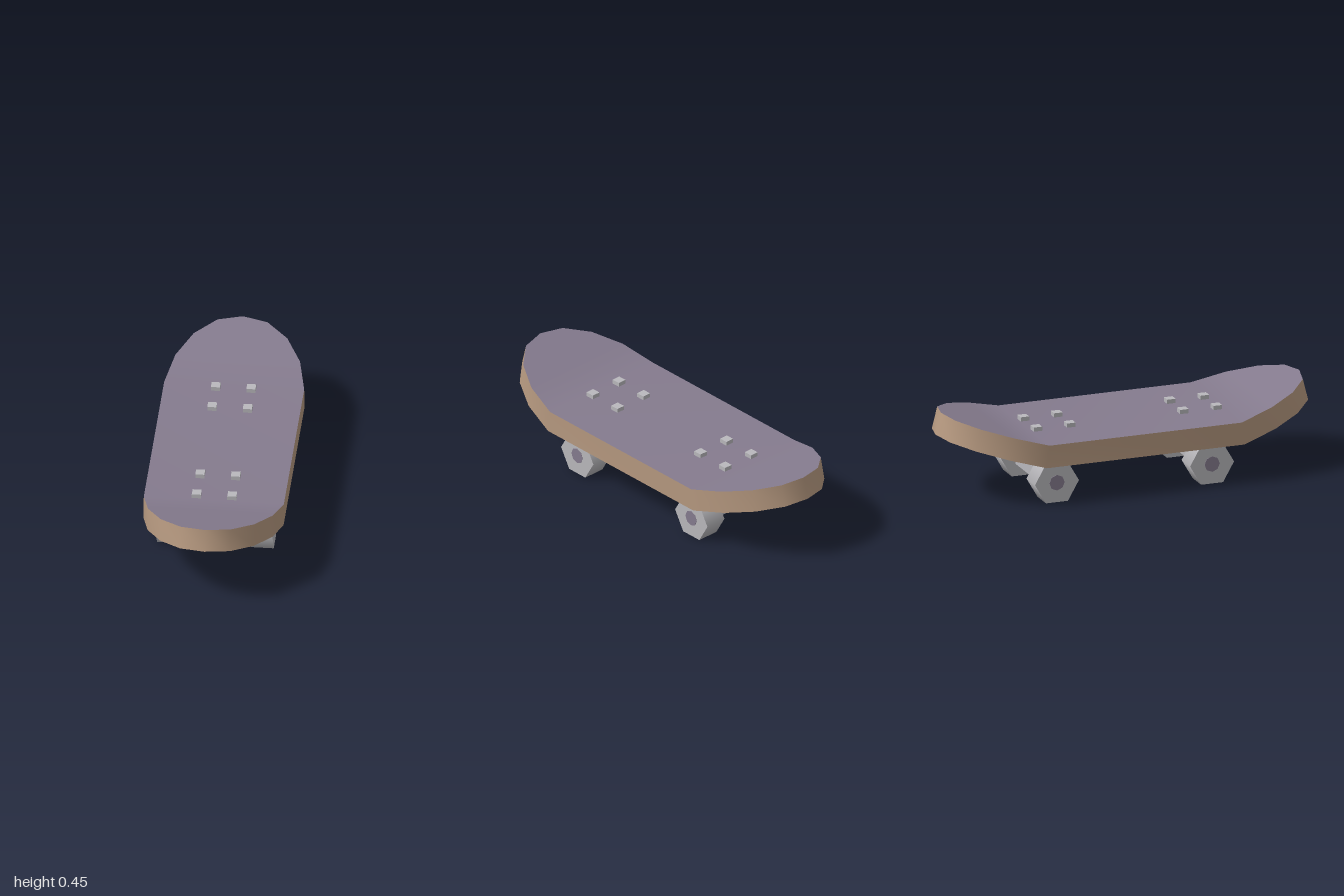
import * as THREE from 'three';

const mat = (name, color, side = THREE.FrontSide) => {
  const m = new THREE.MeshStandardMaterial({ color, side });
  m.name = name;
  return m;
};

// Deck outline of one end: [run from bend to tip, half width]
const END = [[1, 0], [0.934, 0.127], [0.72, 0.237], [0.397, 0.316], [0, 0.355]];
// Stations from back tip to front tip: [end sign, run, half width]
const STATIONS = [
  ...END.map(([t, w]) => [-1, t, w]),
  ...END.slice().reverse().map(([t, w]) => [1, t, w]),
];
const topPoint = ([s, t, w], side) => [side * w, 0.324 + 0.121 * t, s * (0.52 + 0.45 * t)];
const bottomPoint = ([s, t, w], side) => [side * w, 0.206 + 0.127 * t, s * (0.535 + 0.465 * t)];

function buildGeometry(points, index) {
  const g = new THREE.BufferGeometry();
  g.setAttribute('position', new THREE.Float32BufferAttribute(points.flat(), 3));
  g.setIndex(index);
  g.computeVertexNormals();
  return g;
}

// Upper or lower deck sheet, spanned between the left and right outline
function sheet(point, up) {
  const points = [], index = [];
  STATIONS.forEach((st, i) => {
    points.push(point(st, -1), point(st, 1));
    if (i === 0) return;
    const a = 2 * i - 2, b = 2 * i, c = 2 * i + 1, d = 2 * i - 1;
    index.push(...(up ? [a, b, c, a, c, d] : [a, c, b, a, d, c]));
  });
  return buildGeometry(points, index);
}

// Wooden band running once around the deck
function rim() {
  const loop = [
    ...STATIONS.map((st) => [st, 1]),
    ...STATIONS.slice(1, -1).reverse().map((st) => [st, -1]),
  ];
  const points = [], index = [];
  loop.forEach(([st, side], i) => {
    points.push(topPoint(st, side), bottomPoint(st, side));
    const t = 2 * i, b = t + 1, t2 = 2 * ((i + 1) % loop.length), b2 = t2 + 1;
    index.push(t, t2, b, b, t2, b2);
  });
  return buildGeometry(points, index);
}

export function createModel() {
  const grip = mat('muted purple', 0x857b8e);
  const wood = mat('wood', 0xb5987f);
  const metal = mat('light grey', 0xb9b8bc);

  const model = new THREE.Group();
  model.name = 'skateboard';
  const add = (parent, name, geometry, material, x = 0, y = 0, z = 0) => {
    const m = new THREE.Mesh(geometry, material);
    m.name = name;
    m.position.set(x, y, z);
    parent.add(m);
    return m;
  };

  // Deck
  add(model, 'deckTop', sheet(topPoint, true), grip);
  add(model, 'deckBottom', sheet(bottomPoint, false), grip);
  add(model, 'deckRim', rim(), wood);

  // Bolt heads
  const bolt = new THREE.BoxGeometry(0.046, 0.025, 0.046);
  for (const z of [-0.488, -0.307, 0.305, 0.486])
    for (const x of [-0.09, 0.09]) add(model, 'bolt', bolt, metal, x, 0.3335, z);

  // Trucks and wheels
  const plate = new THREE.CylinderGeometry(0.186, 0.186, 0.033, 4).rotateY(Math.PI / 4);
  const stem = new THREE.BoxGeometry(0.074, 0.05, 0.074);
  const axle = new THREE.BoxGeometry(0.36, 0.077, 0.077);
  const wheel = new THREE.CylinderGeometry(0.119, 0.119, 0.118, 6).rotateZ(Math.PI / 2);
  const hub = new THREE.CylinderGeometry(0.041, 0.041, 0.004, 8).rotateZ(Math.PI / 2);
  for (const [name, z] of [['frontTruck', 0.383], ['backTruck', -0.457]]) {
    const truck = new THREE.Group();
    truck.name = name;
    truck.position.z = z;
    model.add(truck);
    add(truck, 'basePlate', plate, metal, 0, 0.1905);
    add(truck, 'stem', stem, metal, 0, 0.155);
    add(truck, 'axle', axle, metal, 0, 0.1025);
    for (const s of [-1, 1]) {
      add(truck, 'wheel', wheel, metal, s * 0.237, 0.103);
      add(truck, 'hub', hub, grip, s * 0.296, 0.103);
    }
  }
  return model;
}
